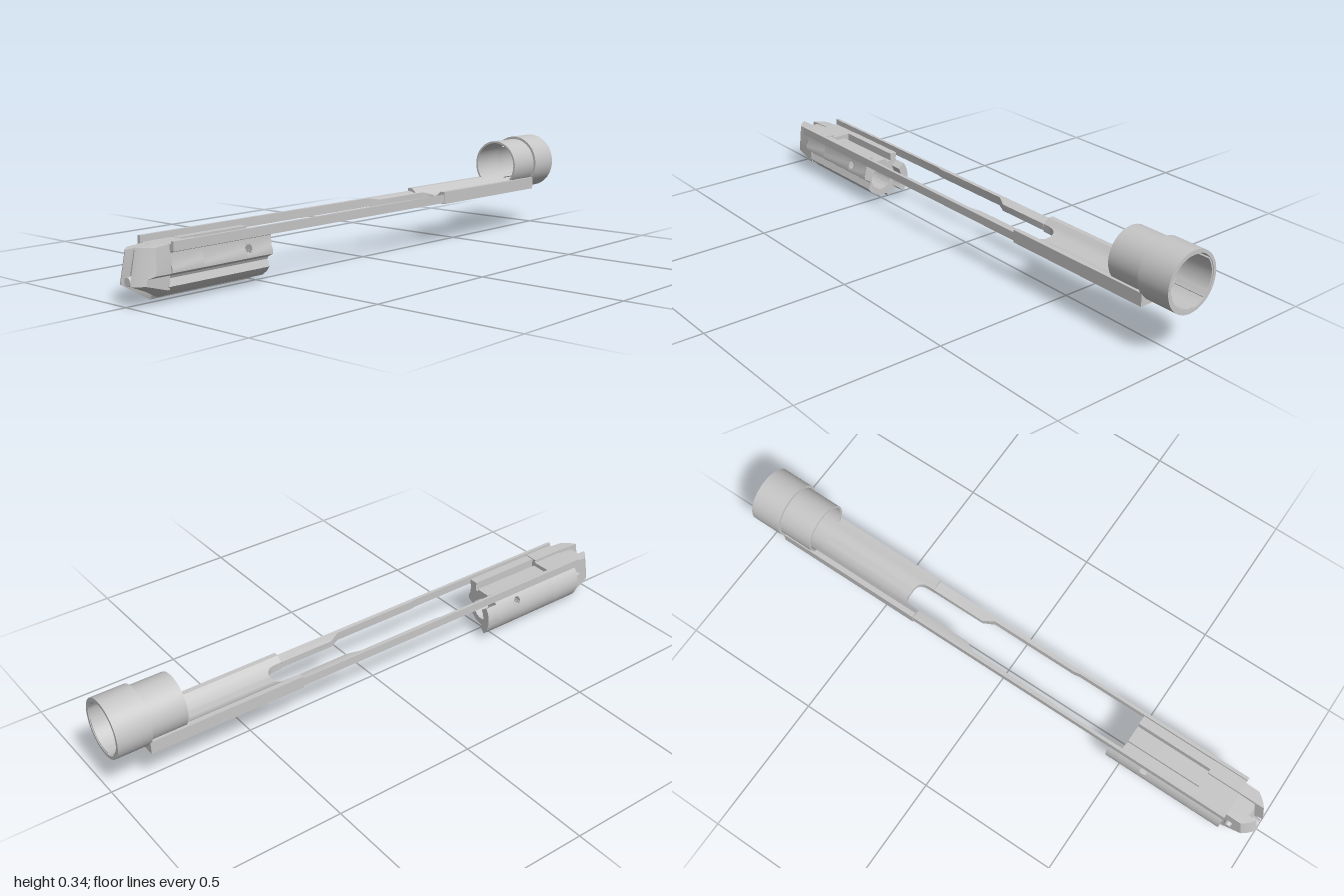
import * as THREE from 'three';
import { toCreasedNormals } from 'three/addons/utils/BufferGeometryUtils.js';

export function createModel() {
  const model = new THREE.Group();
  const steel = new THREE.MeshStandardMaterial({ color: 0xc6c6c6 });
  steel.name = 'light grey steel';

  const add = (name, geometry) => {
    const mesh = new THREE.Mesh(toCreasedNormals(geometry, 0.5), steel);
    mesh.name = name;
    model.add(mesh);
  };
  const shapeOf = (points) => new THREE.Shape(points.map(([x, y]) => new THREE.Vector2(x, y)));
  const extrude = (shape, z0, z1) => new THREE.ExtrudeGeometry(shape, {
    depth: z1 - z0, bevelEnabled: false, curveSegments: 24,
  }).translate(0, 0, z0);
  // Points along a circular arc, angles in degrees
  const arc = (cx, cy, r, a0, a1, n = 12) => Array.from({ length: n + 1 }, (_, i) => {
    const a = THREE.MathUtils.degToRad(a0 + (a1 - a0) * i / n);
    return [cx + r * Math.cos(a), cy + r * Math.sin(a)];
  });
  const circleHole = (shape, x, y, r) => {
    shape.holes.push(new THREE.Path().absarc(x, y, r, 0, Math.PI * 2, true));
    return shape;
  };
  const ring = (y, outer, inner) => circleHole(
    new THREE.Shape().absarc(0, y, outer, 0, Math.PI * 2, false), 0, y, inner);
  // Box grid whose vertices are placed by rule(column, row, isFront)
  const ruledBox = (columns, rows, rule) => {
    const g = new THREE.BoxGeometry(1, 1, 1, columns, rows, 1);
    const p = g.attributes.position;
    for (let i = 0; i < p.count; i++) {
      const column = Math.round((p.getX(i) + 0.5) * columns);
      const row = Math.round((p.getY(i) + 0.5) * rows);
      p.setXYZ(i, ...rule(column, row, p.getZ(i) > 0));
    }
    return g;
  };

  // Rear tube: sleeve, thicker collar and its inner locking lugs
  const axisY = 0.247;
  add('sleeve', extrude(ring(axisY, 0.09, 0.083), -0.89, -0.76));
  add('collar', extrude(ring(axisY, 0.099, 0.088), -1, -0.885));
  for (let i = 0; i < 3; i++) {
    const a = 20 + i * 120;
    add('collarLug', extrude(shapeOf([
      ...arc(0, axisY, 0.089, a, a + 90), ...arc(0, axisY, 0.083, a + 90, a),
    ]), -0.998, -0.885));
  }

  // Concave tray with the rounded rear end of the slot
  const trayTop = (x) => Math.min(0.194, axisY - Math.sqrt(Math.max(0, 0.083 ** 2 - x * x)));
  const half = [0.083, 0.074, 0.065, 0.06, 0.052, 0.0455, 0.045, 0.0435, 0.041, 0.037, 0.03, 0.02, 0.01];
  const trayX = [...half.map((x) => -x), 0, ...half.slice().reverse()];
  add('tray', ruledBox(trayX.length - 1, 1, (column, row, front) => {
    const x = trayX[column];
    const t = Math.abs(x) / 0.045;
    const end = t > 1 ? -0.34 : -0.405 + 0.04 * (1 - Math.sqrt(1 - t ** 4));
    return [x, row ? trayTop(x) : 0.151, front ? end : -0.89];
  }));

  // Long side rails, wider and hollowed on top at the rear
  for (const side of [-1, 1]) {
    const plan = [[0.045, -0.34], [0.08, -0.34], [0.08, 0.89], [0.069, 0.89],
      [0.069, 0.24], [0.065, 0.22], [0.065, -0.1], [0.045, -0.14]];
    const rail = extrude(shapeOf(plan.map(([x, z]) => [side * x, -z])), 0.155, 0.184)
      .rotateX(-Math.PI / 2);
    const p = rail.attributes.position;
    for (let i = 0; i < p.count; i++) p.setY(i, Math.min(p.getY(i), trayTop(p.getX(i))));
    add('rail', rail);
  }

  // Housing: round flank on one side, grooved flank on the other
  const lowFlank = [
    [-0.03, 0.001], [-0.022, 0.015], [0, 0.014], [0.025, 0.02], [0.044, 0.034], [0.057, 0.05],
    [0.048, 0.073], [0.052, 0.081], [0.073, 0.092], [0.073, 0.106],
  ];
  const highFlank = [[0.064, 0.15], [0.07, 0.156]];
  const roundFlank = (from, to) => arc(0, 0.085, 0.087, from, to, 16);
  const grooveTop = [
    [0.07, 0.172], [0.037, 0.172], [0.037, 0.142], [0.026, 0.142], [0.026, 0.15], [-0.026, 0.15],
    [-0.026, 0.138], [-0.044, 0.138], [-0.044, 0.165], [-0.07, 0.165], [-0.07, 0.15],
  ];
  const deckTop = [[0.07, 0.175], [0.022, 0.175], [0.022, 0.164], [-0.07, 0.164], [-0.07, 0.15]];
  const fullSection = (top) => shapeOf(
    [...lowFlank, [0.066, 0.12], ...highFlank, ...top, ...roundFlank(138, 251)]);
  const boreY = 0.08, boreR = 0.042;
  const holeY = 0.12, holeR = 0.0135, holeZ = 0.59;
  const boredSection = () => circleHole(fullSection(grooveTop), 0, boreY, boreR);
  add('housingRear', extrude(boredSection(), 0.495, holeZ - holeR));
  add('housingMiddle', extrude(boredSection(), holeZ + holeR, 0.77));
  add('housingFront', extrude(fullSection(deckTop), 0.77, 0.89));

  // Cross hole through the housing, opened slice by slice
  const slices = 8;
  const angleAt = (y, cy, r) => THREE.MathUtils.radToDeg(Math.asin((y - cy) / r));
  for (let i = 0; i < slices; i++) {
    const z0 = holeZ - holeR + 2 * holeR * i / slices;
    const z1 = z0 + 2 * holeR / slices;
    const h = Math.sqrt(holeR ** 2 - ((z0 + z1) / 2 - holeZ) ** 2);
    const low = holeY - h, high = holeY + h;
    const boreA = angleAt(low, boreY, boreR);
    add('crossHoleFloor', extrude(shapeOf([
      ...lowFlank, [0.073 - (low - 0.106) * 0.5, low],
      ...arc(0, boreY, boreR, boreA, -180 - boreA, 20),
      ...roundFlank(180 - angleAt(low, 0.085, 0.087), 251),
    ]), z0, z1));
    add('crossHoleRoof', extrude(shapeOf([
      [0.066, high], ...highFlank, ...grooveTop,
      ...roundFlank(138, 180 - angleAt(high, 0.085, 0.087)),
    ]), z0, z1));
  }

  // Curved lip that reaches back past the housing
  add('rearLip', extrude(shapeOf([
    ...arc(0, 0.085, 0.087, 145, 222), ...arc(0, 0.085, 0.058, 222, 145),
  ]), 0.45, 0.495));

  // Nose: rounded in plan, sloped underneath, with a recessed channel
  const bellyY = (x) => 0.085 - Math.sqrt((x < -0.028 ? 0.087 : 0.0705) ** 2 - x * x);
  const nose = (name, x0, x1, top, reach) => add(name, ruledBox(6, 2, (column, row, front) => {
    const x = x0 + (x1 - x0) * column / 6;
    const tip = reach - 12 * x * x;
    const y = [bellyY(x), 0.063, front ? top - 0.004 : top][row];
    return [x, y, front ? [0.893, tip, tip - 0.02][row] : 0.885];
  }));
  nose('noseCheekRight', -0.06, -0.022, 0.164, 1.006);
  nose('noseCheekLeft', 0.022, 0.055, 0.175, 1.006);
  nose('noseChannel', -0.022, 0.022, 0.162, 0.975);
  // Overhanging side of the left cheek, above the groove
  add('noseLip', ruledBox(2, 2, (column, row, front) => {
    const x = [0.05, 0.06, [0.068, 0.068, 0.062][row]][column];
    const tip = 1.006 - 12 * x * x;
    const y = [0.08 + column * 0.005, 0.106, front ? 0.171 : 0.175][row];
    return [x, y, front ? tip - [0.003, 0.008, 0.02][row] : 0.885];
  }));

  // Small fittings
  add('nosePin', new THREE.CylinderGeometry(0.013, 0.018, 0.03, 24)
    .rotateX(Math.PI / 2).translate(0, 0.072, 0.978));
  add('sideStud', new THREE.CylinderGeometry(0.011, 0.015, 0.02, 16)
    .rotateZ(Math.PI / 2).translate(-0.063, 0.098, 0.91));
  return model;
}
